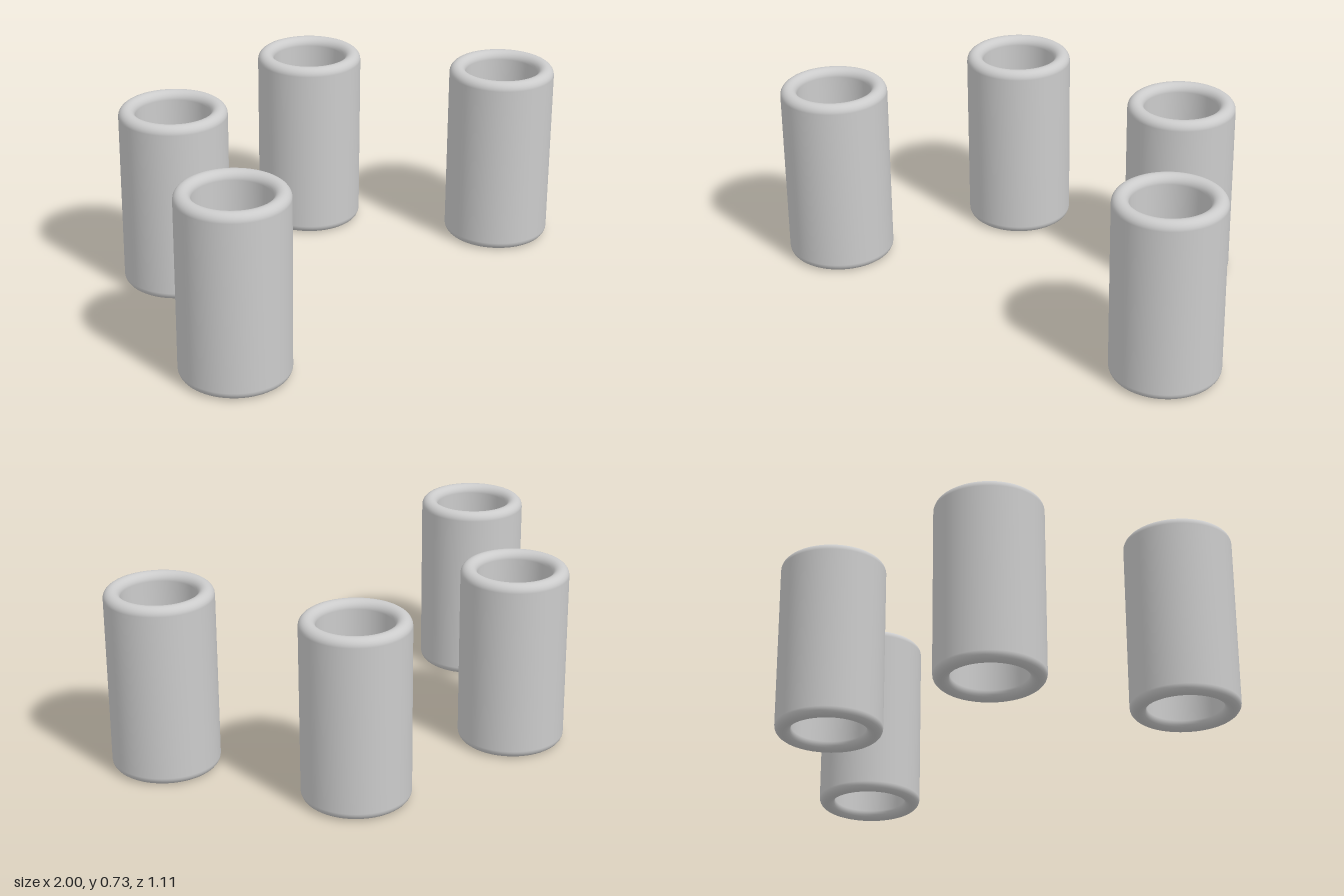
import * as THREE from 'three';

const OUTER = 0.21, INNER = 0.146, HEIGHT = 0.73;

// Closed wall section: up the outside, over the rounded rim, down the bore, round the foot
function sleeveGeometry() {
  const r = (OUTER - INNER) / 2, mid = (OUTER + INNER) / 2, steps = 12;
  const points = [new THREE.Vector2(OUTER, HEIGHT / 2)];
  for (const [cy, start] of [[HEIGHT - r, 0], [r, Math.PI]]) {
    for (let i = 0; i <= steps; i++) {
      const a = start + (Math.PI * i) / steps;
      points.push(new THREE.Vector2(mid + r * Math.cos(a), cy + r * Math.sin(a)));
    }
  }
  points.push(points[0].clone());
  return new THREE.LatheGeometry(points, 64);
}

export function createModel() {
  const group = new THREE.Group();
  group.name = 'sleeveSet';
  const material = new THREE.MeshStandardMaterial({ color: 0xcccccc });
  const geometry = sleeveGeometry();

  // Wide pair in front, narrow pair behind
  for (const [row, x, z] of [['front', 0.79, 0.343], ['back', 0.395, -0.343]]) {
    for (const [side, s] of [['Left', 1], ['Right', -1]]) {
      const sleeve = new THREE.Mesh(geometry, material);
      sleeve.name = `${row}${side}Sleeve`;
      sleeve.position.set(s * x, 0, z);
      group.add(sleeve);
    }
  }
  return group;
}
